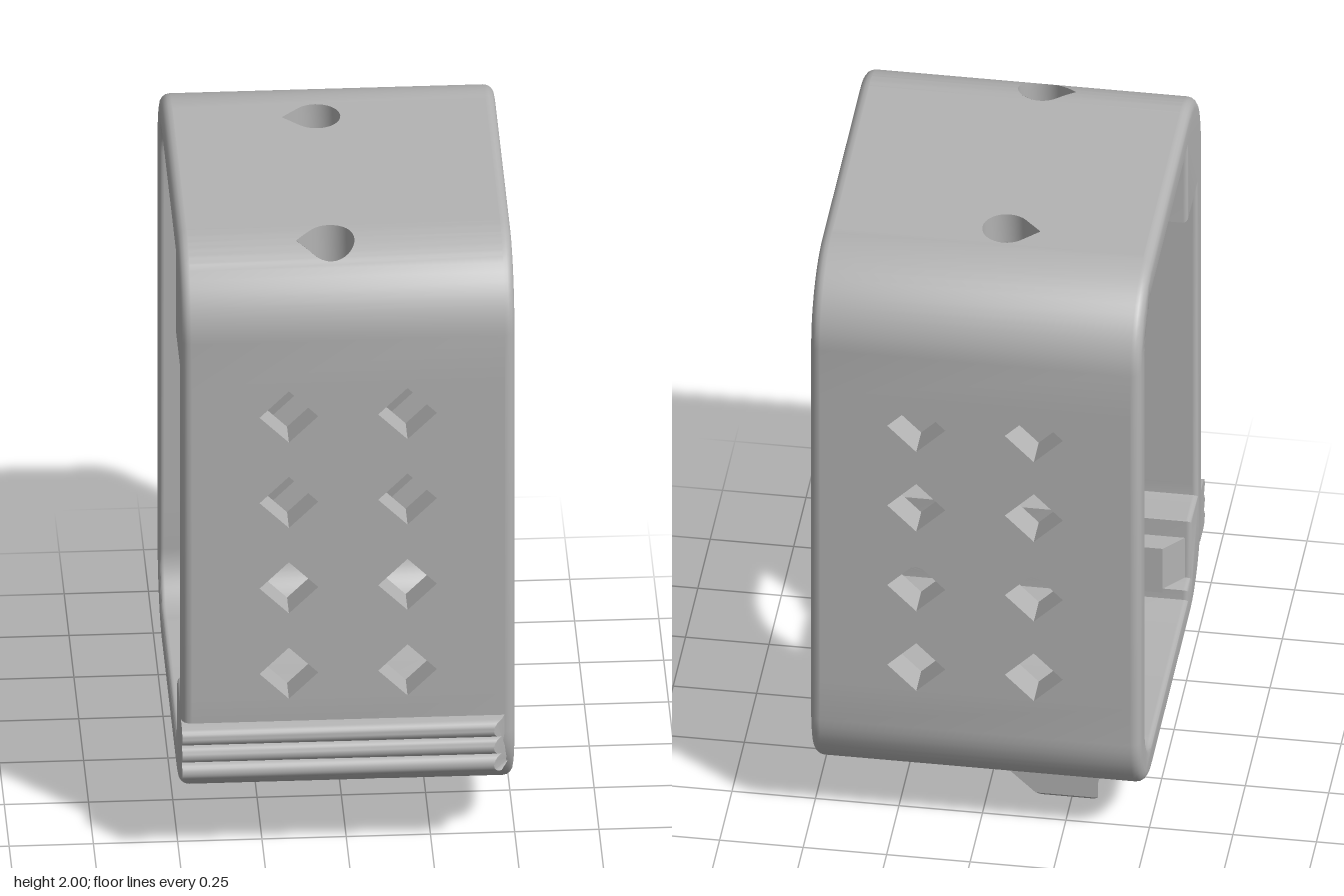
import * as THREE from 'three';
import { toCreasedNormals } from 'three/addons/utils/BufferGeometryUtils.js';

const HALF = 0.495; // half length of the frame along x
const lerp = (p, q, t) => [p[0] + (q[0] - p[0]) * t, p[1] + (q[1] - p[1]) * t];

// Profile points are [z, y]
function arc(z, y, r, a0, a1, n = 14) {
  return Array.from({ length: n + 1 }, (_, i) => {
    const a = (a0 + ((a1 - a0) * i) / n) * Math.PI / 180;
    return [z + r * Math.cos(a), y + r * Math.sin(a)];
  });
}

// Outer outline: up the front, over the top, down the back
const outer = [
  ...arc(0.355, 1.75, 0.25, 0, 90), ...arc(-0.4, 1.75, 0.25, 90, 180),
  ...arc(-0.4, 0.4, 0.25, 180, 270), ...arc(0.355, 0.4, 0.25, 270, 360),
];
// Inner outline runs the other way, with the upper block and the lower ledge
const inner = [
  [0.315, 1.9], [0.315, 1.625], [0.51, 1.625], [0.51, 0.49], [0.375, 0.49],
  [0.375, 0.285], [0.31, 0.285], [0.31, 0.25],
  ...arc(-0.4, 0.4, 0.15, 270, 180), ...arc(-0.4, 1.75, 0.15, 180, 90),
];
const outerTop = z => 1.75 + Math.sqrt(0.0625 - Math.max(0, z - 0.355) ** 2);
const outerBottom = z => 2.15 - outerTop(z);

// A hole knows its x span at distance d from its centre line
const diamond = d => [-(0.087 - Math.abs(d)), 0.087 - Math.abs(d)];
const R = 0.072, r = 0.037;
const round = k => d => { const w = Math.sqrt(Math.max(0, k * k - d * d)); return [-w, w]; };
const teardrop = d => {
  const w = round(R)(d)[1];
  return [Math.abs(d) < R * Math.SQRT1_2 ? -(R * Math.SQRT2 - Math.abs(d)) : -w, w];
};
function hole(axis, x, c, h, span, on) {
  const n = axis ? 2 : 16;
  const cs = Array.from({ length: n + 1 }, (_, i) => c - h * Math.cos((Math.PI * i) / n));
  const at = v => span(Math.max(-h, Math.min(h, v - c))).map(s => s + x);
  const outline = [...cs.map(v => [at(v)[1], v]), ...cs.slice(1, -1).reverse().map(v => [at(v)[0], v])];
  return { axis, x, c, h, cs, at, on, outline };
}

// Triangle collector
function quad(out, a, b, c, d) { out.push(...a, ...b, ...c, ...a, ...c, ...d); }
const at = (x, p) => [x, p[1], p[0]];

// Add rows to an outline where holes begin, turn and end
function refine(loop, holes) {
  return loop.flatMap((p, i) => {
    const q = loop[(i + 1) % loop.length], m = lerp(p, q, 0.5), ts = [0];
    for (const o of holes) {
      const len = q[o.axis] - p[o.axis];
      if (!o.on(m) || Math.abs(len) < 1e-6) continue;
      for (const c of o.cs) {
        const t = (c - p[o.axis]) / len;
        if (t > 1e-4 && t < 1 - 1e-4 && ts.every(u => Math.abs(u - t) > 1e-6)) ts.push(t);
      }
    }
    return ts.sort((a, b) => a - b).map(t => lerp(p, q, t));
  });
}

// Skin along x with the holes left open
function skin(out, loop, holes, w) {
  const rows = refine(loop, holes);
  rows.forEach((p, i) => {
    const q = rows[(i + 1) % rows.length], m = lerp(p, q, 0.5);
    const cut = holes.filter(o => o.on(m) && Math.abs(m[o.axis] - o.c) < o.h - 1e-6).sort((a, b) => a.x - b.x);
    const xs = s => [-w, ...cut.flatMap(o => o.at(s[o.axis])), w];
    const a = xs(p), b = xs(q);
    for (let k = 0; k < a.length; k += 2) quad(out, at(a[k], p), at(a[k + 1], p), at(b[k + 1], q), at(b[k], q));
  });
}

// Move an outline into the material by d
function offset(loop, d) {
  const n = loop.length;
  const normal = (p, q) => {
    const l = Math.hypot(q[0] - p[0], q[1] - p[1]);
    return [(q[1] - p[1]) / l, -(q[0] - p[0]) / l];
  };
  return loop.map((p, i) => {
    const a = normal(loop[(i + n - 1) % n], p), b = normal(p, loop[(i + 1) % n]);
    const k = d / (1 + a[0] * b[0] + a[1] * b[1]);
    return [p[0] - (a[0] + b[0]) * k, p[1] - (a[1] + b[1]) * k];
  });
}

// Rounded edge at both ends of a skin
function roundEnds(out, loop, b, steps = 4) {
  const ring = k => {
    const a = (k / steps) * Math.PI / 2;
    return { x: HALF - b + b * Math.sin(a), pts: offset(loop, b * (1 - Math.cos(a))) };
  };
  for (let k = 0; k < steps; k++) {
    const s = ring(k), t = ring(k + 1);
    loop.forEach((_, i) => {
      const j = (i + 1) % loop.length;
      quad(out, at(s.x, s.pts[i]), at(t.x, t.pts[i]), at(t.x, t.pts[j]), at(s.x, s.pts[j]));
      quad(out, at(-t.x, t.pts[i]), at(-s.x, s.pts[i]), at(-s.x, s.pts[j]), at(-t.x, t.pts[j]));
    });
  }
}

// Flat face with one opening
function face(out, contour, opening, place) {
  const v = l => l.map(p => new THREE.Vector2(...p));
  const all = [...contour, ...opening];
  for (const t of THREE.ShapeUtils.triangulateShape(v(contour), [v(opening)])) {
    for (const i of t) out.push(...place(all[i]));
  }
}

// Side walls of a hole between two surfaces
function tube(out, o, from, to) {
  const put = (p, f) => (o.axis ? [p[0], p[1], f(p[1])] : [p[0], f(p[1]), p[1]]);
  o.outline.forEach((p, i) => {
    const q = o.outline[(i + 1) % o.outline.length];
    quad(out, put(p, from), put(q, from), put(q, to), put(p, to));
  });
}

function soup(out, crease = 0.6) {
  const g = new THREE.BufferGeometry();
  g.setAttribute('position', new THREE.Float32BufferAttribute(out, 3));
  return toCreasedNormals(g, crease);
}

// Extrude a [z, y] outline along x, then move its vertices by a rule
function prism(pts, x0, x1, rule) {
  const g = new THREE.ExtrudeGeometry(new THREE.Shape(pts.map(p => new THREE.Vector2(...p))),
    { depth: x1 - x0, bevelEnabled: false });
  g.rotateY(-Math.PI / 2).translate(x1, 0, 0);
  const pos = g.attributes.position, v = new THREE.Vector3();
  for (let i = 0; i < pos.count; i++) {
    rule(v.fromBufferAttribute(pos, i));
    pos.setXYZ(i, v.x, v.y, v.z);
  }
  return toCreasedNormals(g.index ? g.toNonIndexed() : g, 0.6);
}

export function createModel() {
  const grey = new THREE.MeshStandardMaterial({ color: 0xb3b3b3, side: THREE.DoubleSide });
  grey.name = 'grey plastic';
  const model = new THREE.Group();
  model.name = 'holder';
  const add = (name, geometry) => {
    const mesh = new THREE.Mesh(geometry, grey);
    mesh.name = name;
    model.add(mesh);
  };

  // Diamond windows in the front and back walls
  const windows = [];
  for (const on of [m => m[0] > 0.5, m => m[0] < -0.5])
    for (const x of [-0.176, 0.176])
      for (let i = 0; i < 4; i++) windows.push(hole(1, x, 1.495 - 0.291 * i, 0.087, diamond, on));

  // Teardrop openings in the top and bottom; the front ones narrow to screw holes
  const up = m => m[1] > 1, down = m => m[1] < 1;
  const drop = (x, z, on) => hole(0, x, z, R, teardrop, on);
  const topBack = drop(-0.043, -0.303, up), bottomBack = drop(0.091, -0.303, down);
  const topFront = drop(-0.043, 0.422, up), bottomFront = drop(0.091, 0.422, down);
  const topScrew = hole(0, -0.043, 0.422, r, round(r), up);
  const bottomScrew = hole(0, 0.091, 0.422, r, round(r), down);

  // Frame
  const frame = [], bo = 0.03, bi = 0.015;
  skin(frame, outer, [...windows, topBack, bottomBack, topFront, bottomFront], HALF - bo);
  skin(frame, inner, [...windows, topBack, bottomBack, topScrew, bottomScrew], HALF - bi);
  roundEnds(frame, outer, bo);
  roundEnds(frame, inner, bi);
  for (const x of [-HALF, HALF]) face(frame, offset(outer, bo), offset(inner, bi), p => at(x, p));
  add('frame', soup(frame));

  // Walls inside the holes
  const walls = [];
  for (const o of windows) {
    if (o.on([0.55, 0])) tube(walls, o, () => 0.605, () => 0.51);
    else tube(walls, o, () => -0.65, () => -0.55);
  }
  tube(walls, topBack, outerTop, () => 1.9);
  tube(walls, bottomBack, outerBottom, () => 0.25);
  for (const [o, screw, skinY, floor, end] of [
    [topFront, topScrew, outerTop, 1.76, 1.625], [bottomFront, bottomScrew, outerBottom, 0.33, 0.49]]) {
    tube(walls, o, skinY, () => floor);
    tube(walls, screw, () => floor, () => end);
    face(walls, o.outline, screw.outline, p => [p[0], floor, p[1]]);
  }
  add('holeWalls', soup(walls));

  // Step on the ledge with chamfered ends
  add('ledgeStep', prism([[0.31, 0.27], [0.39, 0.27], [0.39, 0.43], [0.31, 0.43]], -0.49, 0.49,
    v => { v.x -= Math.sign(v.x) * Math.max(0, 0.38 - v.z); }));

  // Ribbed grip strip on the front, slanted at one end
  const ribs = [0.315, 0.373, 0.431].flatMap(y => arc(0.626, y, 0.029, -80, 80, 10));
  add('gripStrip', prism([[0.56, 0.286], ...ribs, [0.56, 0.46]], -HALF, 0.48,
    v => { if (v.x > 0) v.x -= Math.max(0, v.z - 0.605); }));

  // Clip under the bottom: two jaws round a slotted channel
  const mid = -0.18;
  for (const [s, name] of [[1, 'clipJawFront'], [-1, 'clipJawBack']]) {
    const jaw = [[0.215, 0.155], [0.215, 0.015], [0.2, 0], [0.038, 0], [0.038, 0.05],
      [0.07, 0.07], [0.09, 0.105], [0.085, 0.135], [0.065, 0.155]];
    add(name, prism(jaw.map(([z, y]) => [mid + s * z, y]), -0.33, -0.16, v => {
      const gap = Math.abs(v.z - mid);
      if (v.x > -0.2) {
        if (gap < 0.1 && v.y > 0.06) v.z = mid + s * gap * 1.35;
        v.x += v.y * 1.07;
      } else if (v.y < 0.01) v.x += 0.015;
    }));
  }
  return model;
}
